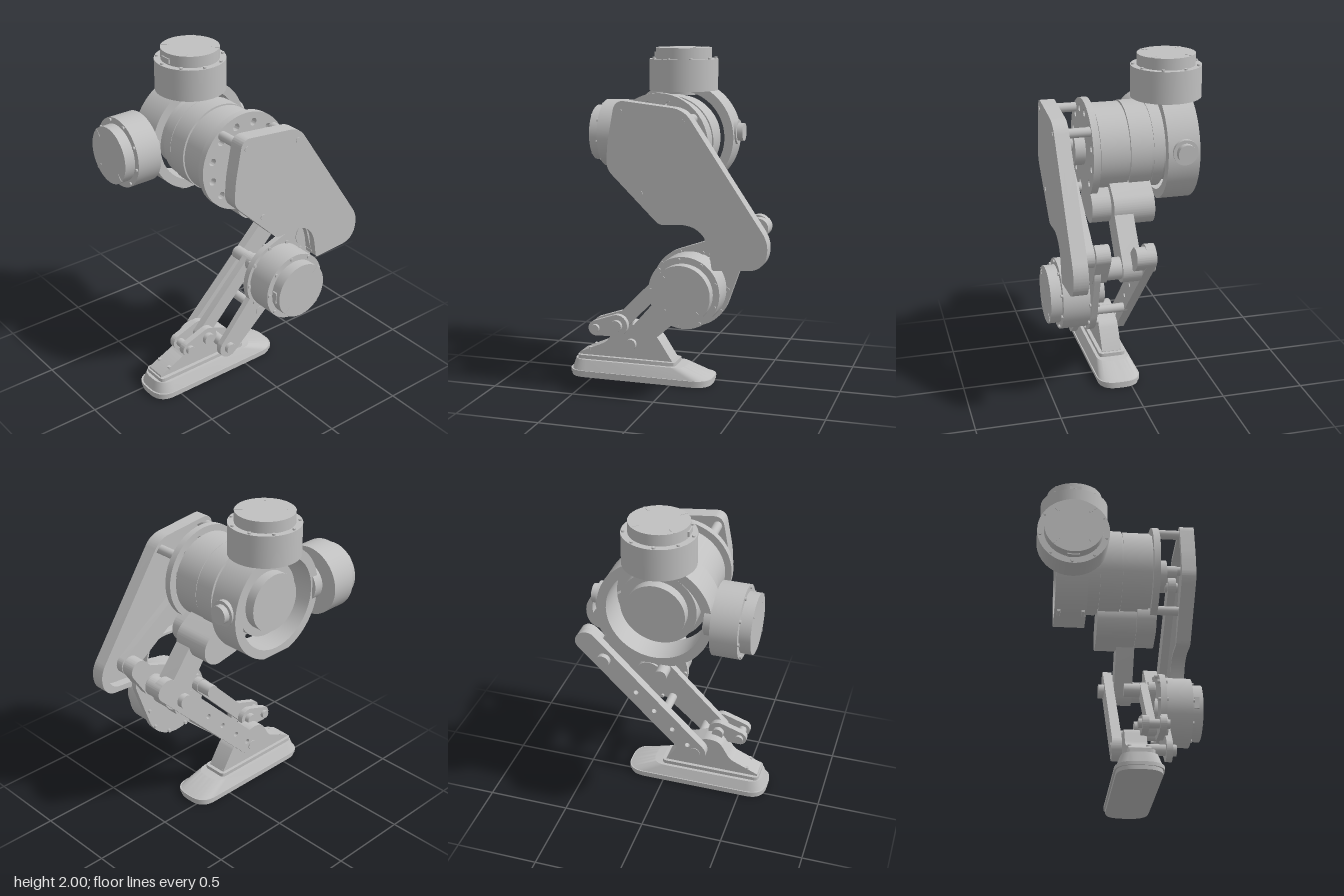
import * as THREE from 'three';
import { toCreasedNormals } from 'three/addons/utils/BufferGeometryUtils.js';

const metal = new THREE.MeshStandardMaterial({ color: 0xc0c0c0 });
metal.name = 'light grey metal';

export function createModel() {
  const model = new THREE.Group();
  model.name = 'robotLeg';

  const add = (name, geo, parent = model) => {
    const m = new THREE.Mesh(geo, metal);
    m.name = name;
    parent.add(m);
    return m;
  };
  const box = (name, x0, x1, y0, y1, z0, z1, parent) =>
    add(name, new THREE.BoxGeometry(x1 - x0, y1 - y0, z1 - z0), parent)
      .position.set((x0 + x1) / 2, (y0 + y1) / 2, (z0 + z1) / 2);
  // cylinder lying along x, centred on [z, y]
  const rodX = (name, [z, y], r, x0, x1, seg = 32) => {
    const g = new THREE.CylinderGeometry(r, r, x1 - x0, seg).rotateZ(Math.PI / 2);
    add(name, g).position.set((x0 + x1) / 2, y, z);
  };
  const rodZ = (name, x, y, r, z0, z1, seg = 32) => {
    const g = new THREE.CylinderGeometry(r, r, z1 - z0, seg).rotateX(Math.PI / 2);
    add(name, g).position.set(x, y, (z0 + z1) / 2);
  };
  // plate drawn in the z-y plane, thick along x
  const plate = (name, shape, x0, x1) => {
    const g = new THREE.ExtrudeGeometry(shape, { depth: x1 - x0, bevelEnabled: false, curveSegments: 24 });
    g.rotateY(-Math.PI / 2).translate(x1, 0, 0);
    add(name, toCreasedNormals(g, 0.5));
  };
  const hole = (shape, z, y, r) => shape.holes.push(new THREE.Path().absarc(z, y, r, 0, Math.PI * 2, true));
  // outline around two circles
  const linkShape = (a, b, ra, rb) => {
    const dx = b[0] - a[0], dy = b[1] - a[1];
    const phi = Math.atan2(dy, dx), beta = Math.acos((ra - rb) / Math.hypot(dx, dy));
    const s = new THREE.Shape();
    s.absarc(a[0], a[1], ra, phi + beta, phi + Math.PI * 2 - beta, false);
    s.absarc(b[0], b[1], rb, phi - beta, phi + beta, false);
    return s;
  };
  const link = (name, a, b, ra, rb, x0, x1) => plate(name, linkShape(a, b, ra, rb), x0, x1);
  // polygon with rounded corners, each point is [u, v, radius]
  const roundPoly = (pts, Kind = THREE.Shape) => {
    const s = new Kind();
    pts.forEach(([u, v, r], i) => {
      const p = new THREE.Vector2(u, v);
      const toward = (q) => new THREE.Vector2(q[0], q[1]).sub(p).setLength(r).add(p);
      const a = toward(pts[(i + pts.length - 1) % pts.length]);
      const b = toward(pts[(i + 1) % pts.length]);
      i ? s.lineTo(a.x, a.y) : s.moveTo(a.x, a.y);
      s.quadraticCurveTo(u, v, b.x, b.y);
    });
    s.closePath();
    return s;
  };

  // actuator along +y: wide housing, narrower cap, bolts, ribs and a socket
  const motor = (name, len, capLen) => {
    const g = new THREE.Group();
    g.name = name;
    add('housing', new THREE.CylinderGeometry(0.21, 0.21, len, 64), g).position.y = len / 2;
    add('cap', new THREE.CylinderGeometry(0.172, 0.172, capLen, 64), g).position.y = len + capLen / 2;
    for (let i = 0; i < 9; i++) {
      const a = (i / 9) * Math.PI * 2 + 0.2;
      add('rimBolt', new THREE.CylinderGeometry(0.01, 0.01, 0.012, 10), g)
        .position.set(0.195 * Math.cos(a), len + 0.004, 0.195 * Math.sin(a));
    }
    for (let i = 0; i < 4; i++) {
      const a = (i / 4) * Math.PI * 2 + Math.PI / 4;
      const rib = add('capRib', new THREE.BoxGeometry(0.05, 0.006, 0.012), g);
      rib.position.set(0.148 * Math.cos(a), len + capLen - 0.001, 0.148 * Math.sin(a));
      rib.rotation.y = -a;
    }
    box('socket', -0.035, 0.035, len + 0.01, len + 0.04, 0.16, 0.178, g);
    model.add(g);
    return g;
  };

  const hip = [0.05, 1.46], knee = [-0.38, 0.86], calf = [-0.165, 0.645], ankle = [0.205, 0.27];

  // three actuators
  motor('yawMotor', 0.19, 0.068).position.set(-0.28, 1.74, 0.05);
  const front = motor('rollMotor', 0.155, 0.065);
  front.position.set(-0.303, 1.46, 0.4);
  front.rotation.x = Math.PI / 2;
  const low = motor('calfMotor', 0.16, 0.065);
  low.position.set(0.285, calf[1], calf[0]);
  low.rotation.z = -Math.PI / 2;

  // hip ring bracket with flat top and bottom
  const ring = new THREE.Shape();
  const flat = Math.asin(0.32 / 0.335);
  ring.absarc(hip[0], hip[1], 0.335, -flat, flat, false);
  ring.absarc(hip[0], hip[1], 0.335, Math.PI - flat, Math.PI + flat, false);
  ring.closePath();
  hole(ring, hip[0], hip[1], 0.28);
  plate('hipRing', ring, -0.39, -0.2);
  add('yawNeck', new THREE.CylinderGeometry(0.11, 0.11, 0.06, 40)).position.set(-0.29, 1.745, 0.05);
  rodZ('rollNeck', -0.3, 1.46, 0.115, 0.34, 0.4);
  rodZ('rearBossBase', -0.3, 1.49, 0.075, -0.295, -0.25);
  rodZ('rearBoss', -0.3, 1.49, 0.055, -0.33, -0.28);
  for (const x of [-0.365, -0.22]) for (const y of [1.765, 1.145])
    rodZ('ringBolt', x, y, 0.012, 0.1, 0.17, 10);

  // hip pitch drum
  rodX('innerCap', hip, 0.175, -0.37, -0.28, 64);
  rodX('innerHousing', hip, 0.225, -0.31, -0.19, 64);
  rodX('drumCollar', hip, 0.255, -0.2, -0.14, 64);
  rodX('drumInner', hip, 0.265, -0.125, 0, 64);
  rodX('drumCore', hip, 0.25, -0.15, 0.19, 64);
  rodX('drumOuter', hip, 0.26, 0.008, 0.175, 64);
  const flange = new THREE.Shape().absarc(hip[0], hip[1], 0.296, 0, Math.PI * 2, false);
  for (let i = 0; i < 12; i++) {
    const a = (i / 12) * Math.PI * 2 + 0.26;
    hole(flange, hip[0] + 0.235 * Math.cos(a), hip[1] + 0.235 * Math.sin(a), 0.022);
  }
  plate('drumFlange', flange, 0.187, 0.228);
  rodX('outputHub', hip, 0.1, 0.22, 0.29);
  rodX('outputShaft', [0.05, 1.49], 0.042, 0.28, 0.36);

  // outer thigh shell: face with a raised rim on the inside
  const outline = [
    [0.24, 1.73, 0.06], [-0.165, 1.685, 0.07], [-0.665, 0.945, 0.09], [-0.615, 0.805, 0.07],
    [-0.33, 0.785, 0.02], [-0.29, 1.05, 0.17], [-0.02, 1.03, 0.03], [0.295, 1.34, 0.05], [0.285, 1.49, 0.04],
  ];
  const inner = outline.map(([z, y, r]) => [-0.16 + (z + 0.16) * 0.91, 1.27 + (y - 1.27) * 0.93, r * 0.9]);
  plate('thighPlate', roundPoly(outline), 0.415, 0.445);
  const rim = roundPoly(outline);
  rim.holes.push(roundPoly(inner, THREE.Path));
  plate('thighRim', rim, 0.358, 0.415);
  for (const p of [[0.21, 1.665], [-0.155, 1.615], [0.09, 1.205]]) {
    rodX('thighSpacer', p, 0.028, 0.22, 0.42, 20);
    rodX('thighBolt', p, 0.016, 0.44, 0.449, 12);
  }

  // rear block under the drum and inner thigh bar
  link('drumBlock', [-0.06, 1.2], [-0.165, 1.155], 0.13, 0.105, -0.128, 0.115);
  link('drumBlockSide', [-0.02, 1.19], [-0.1, 1.15], 0.12, 0.1, 0.11, 0.228);
  link('innerThighBar', [-0.16, 1.15], knee, 0.08, 0.085, 0.003, 0.115);

  // knee drive
  const crank = [-0.48, 0.99];
  rodX('kneeShaft', knee, 0.065, -0.04, 0.27);
  rodX('kneeBoss', knee, 0.043, -0.09, -0.03);
  link('kneeCrank', knee, crank, 0.075, 0.062, 0.205, 0.29);
  rodX('crankPin', crank, 0.03, 0.28, 0.36, 20);
  link('kneePushRod', [0.07, 1.375], crank, 0.06, 0.062, 0.297, 0.345);
  rodX('pushRodPin', [0.07, 1.375], 0.03, 0.28, 0.36, 20);

  // shin: inner side plate with holes, outer side plate carrying the motor
  const side = linkShape([-0.49, 0.965], ankle, 0.07, 0.07);
  for (const t of [0.35, 0.55, 0.75, 0.92])
    hole(side, knee[0] + (ankle[0] - knee[0]) * t, knee[1] + (ankle[1] - knee[1]) * t, 0.016);
  plate('innerShinPlate', side, -0.055, 0);
  link('shinTopBlock', [-0.505, 0.965], [-0.47, 0.935], 0.06, 0.06, -0.055, 0.06);
  link('outerShinUpper', calf, knee, 0.232, 0.1, 0.25, 0.286);
  link('outerShinLower', calf, ankle, 0.1, 0.066, 0.25, 0.286);
  for (let i = 0; i < 10; i++) {
    const a = (i / 10) * Math.PI * 2;
    rodX('motorBolt', [calf[0] + 0.218 * Math.cos(a), calf[1] + 0.218 * Math.sin(a)], 0.011, 0.235, 0.295, 10);
  }
  rodX('shinSpacer', [-0.03, 0.44], 0.028, -0.02, 0.29, 20);

  // ankle drive: motor crank, push rod and lever
  const crankTop = [-0.05, 0.735], lever = [0.32, 0.355], toe = [0.455, 0.33];
  rodX('calfHub', calf, 0.085, 0.17, 0.255);
  link('calfCrank', calf, crankTop, 0.075, 0.055, 0.185, 0.225);
  rodX('calfCrankPin', crankTop, 0.04, 0.04, 0.23, 20);
  link('anklePushRod', crankTop, lever, 0.045, 0.045, 0.135, 0.18);
  for (const x of [0.09, 0.187]) link('ankleLever', lever, toe, 0.066, 0.046, x, x + 0.037);
  rodX('leverPin', lever, 0.036, 0.06, 0.25, 20);
  rodX('toePin', toe, 0.026, 0.07, 0.245, 20);
  rodX('ankleShaft', ankle, 0.033, -0.06, 0.312, 20);

  // foot
  const slab = (name, w, z0, z1, y0, y1, r, rule) => {
    const h = w / 2;
    const s = roundPoly([[-h, z0, r], [h, z0, r], [h, z1, r], [-h, z1, r]]);
    const g = new THREE.ExtrudeGeometry(s, { depth: y1 - y0, bevelEnabled: false, curveSegments: 10 });
    g.rotateX(Math.PI / 2).translate(0.065, y1, 0);
    if (rule) {
      const p = g.attributes.position;
      for (let i = 0; i < p.count; i++) if (p.getY(i) > (y0 + y1) / 2) rule(p, i);
    }
    add(name, toCreasedNormals(g, 0.5));
  };
  slab('soleBottom', 0.25, -0.24, 0.655, 0, 0.022, 0.11);
  slab('sole', 0.268, -0.247, 0.66, 0.022, 0.042, 0.115);
  slab('footBody', 0.255, -0.24, 0.65, 0.042, 0.105, 0.11, (p, i) => {
    p.setX(i, 0.065 + (p.getX(i) - 0.065) * 0.8);
    p.setZ(i, 0.63 + (p.getZ(i) - 0.65) * 0.8);
  });
  slab('footTopPlate', 0.165, -0.02, 0.61, 0.1, 0.128, 0.03);
  const yoke = roundPoly([
    [0.6, 0.125, 0.005], [0.6, 0.14, 0.005], [0.42, 0.22, 0.03], [0.35, 0.34, 0.04],
    [0.27, 0.35, 0.03], [0.1, 0.28, 0.03], [0, 0.125, 0.01],
  ]);
  plate('ankleYoke', yoke, 0.003, 0.125);
  for (const x of [0.015, 0.115]) for (const z of [0.02, 0.53])
    add('footBolt', new THREE.CylinderGeometry(0.012, 0.012, 0.02, 10)).position.set(x, z > 0.1 ? 0.165 : 0.13, z);

  return model;
}
